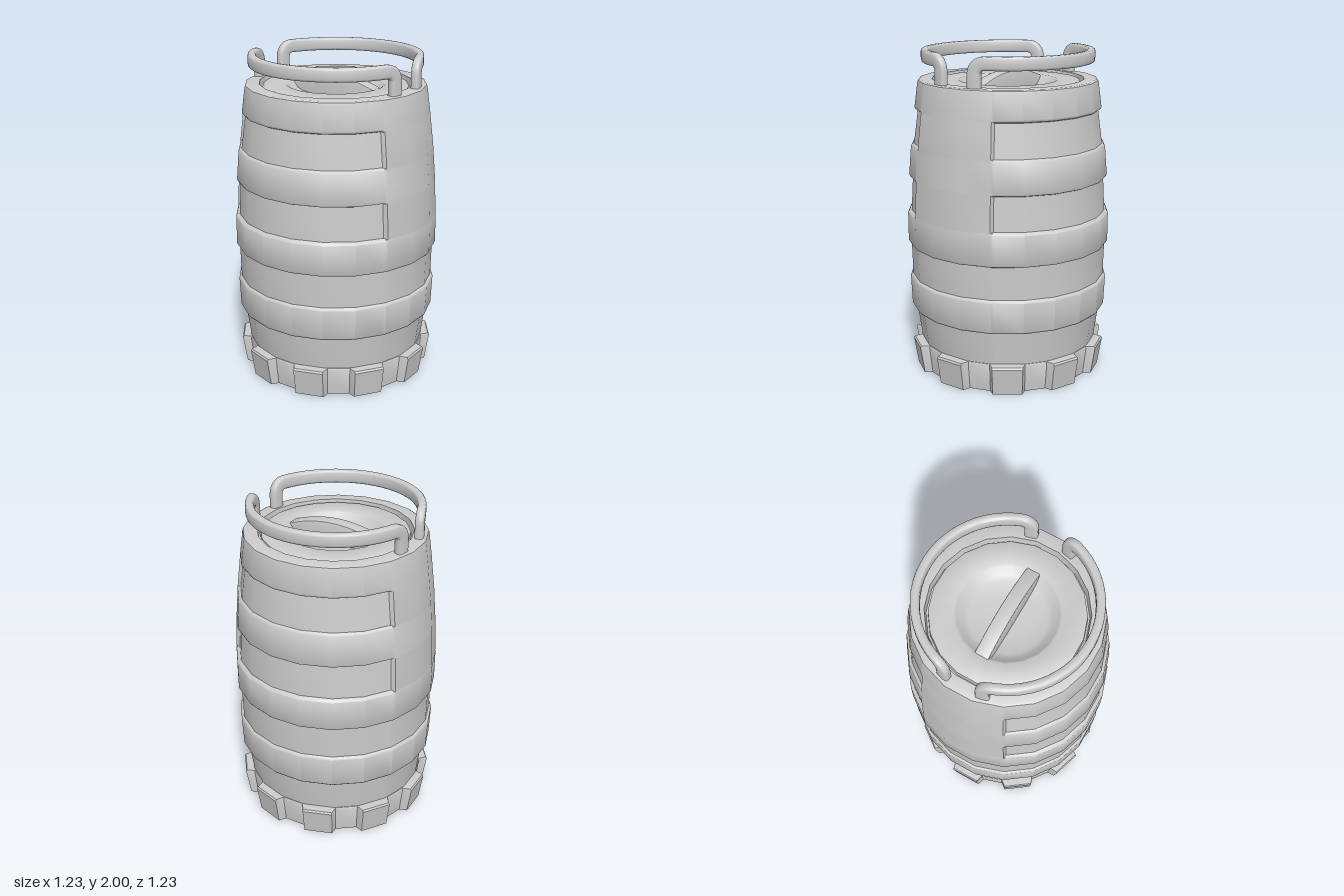
import * as THREE from 'three';
import { toCreasedNormals } from 'three/addons/utils/BufferGeometryUtils.js';

const RAD = Math.PI / 180;
const SIDES = 20;
const material = new THREE.MeshStandardMaterial({ color: 0xcccccc });

function addMesh(parent, name, geometry, crease = 38) {
  const mesh = new THREE.Mesh(toCreasedNormals(geometry, crease * RAD), material);
  mesh.name = name;
  parent.add(mesh);
  return mesh;
}

// Surface through a grid of points; outward is (row direction) x (column direction)
function gridGeometry(rows, cols, point) {
  const positions = [], index = [];
  for (let i = 0; i < rows; i++)
    for (let j = 0; j < cols; j++) positions.push(...point(i, j));
  for (let i = 0; i < rows - 1; i++)
    for (let j = 0; j < cols - 1; j++) {
      const a = i * cols + j, b = a + cols;
      index.push(a, b, b + 1, a, b + 1, a + 1);
    }
  const geometry = new THREE.BufferGeometry();
  geometry.setAttribute('position', new THREE.Float32BufferAttribute(positions, 3));
  geometry.setIndex(index);
  return geometry;
}

// Point on a 20-sided ring whose flat faces are centred on multiples of 18 degrees
function ringPoint(radius, y, degrees) {
  const offset = degrees - Math.round(degrees / 18) * 18;
  const r = radius * Math.cos(9 * RAD) / Math.cos(offset * RAD);
  return [r * Math.cos(degrees * RAD), y, r * Math.sin(degrees * RAD)];
}

// Barrel wall: rows of [height, radius, radius inside the front and back panels]
function barrelGeometry() {
  const rows = [
    [0.17, 0.55], [0.39, 0.58],
    // lower band
    [0.394, 0.6], [0.406, 0.61], [0.588, 0.618], [0.6, 0.61], [0.604, 0.602],
    // middle band
    [0.806, 0.607], [0.81, 0.618], [0.822, 0.625], [1.0, 0.625],
    // lower panels
    [1.01, 0.623, 0.618], [1.016, 0.623, 0.602], [1.222, 0.613, 0.59], [1.228, 0.613, 0.606],
    [1.24, 0.612], [1.418, 0.597],
    // upper panels
    [1.428, 0.596, 0.59], [1.434, 0.596, 0.578], [1.636, 0.572, 0.55], [1.642, 0.571, 0.564],
    [1.654, 0.57],
    // rim
    [1.8, 0.55], [1.814, 0.546], [1.82, 0.535], [1.82, 0.462], [1.77, 0.455], [1.77, 0.42],
  ];
  const angles = [28.5, 151.5, 208.5, 331.5];
  for (let k = 0; k <= SIDES; k++) angles.push(9 + 18 * k);
  angles.sort((a, b) => a - b);
  const inPanel = (deg) => Math.abs(Math.sin(deg * RAD)) > Math.sin(28 * RAD);
  return gridGeometry(rows.length, angles.length, (i, j) => {
    const [y, full, panel = full] = rows[i];
    return ringPoint(inPanel(angles[j]) ? panel : full, y, angles[j]);
  });
}

// Foot ring: ten teeth alternating with ten notches
function footGeometry() {
  const columns = [];
  for (let k = 0; k <= SIDES; k++) {
    const edge = 9 + 18 * k, toothFirst = k % 2 === 0;
    columns.push([edge - (toothFirst ? 0.3 : 2), toothFirst]);
    columns.push([edge + (toothFirst ? 2 : 0.3), !toothFirst]);
  }
  columns.pop();
  columns[0][0] = columns.at(-1)[0] - 360;
  // [height, tooth radius, notch radius]
  const rows = [[0, 0, 0], [0, 0.582, 0.54], [0.168, 0.609, 0.56], [0.18, 0.602, 0.555], [0.185, 0.5, 0.5]];
  return gridGeometry(rows.length, columns.length, (i, j) => {
    const [deg, tooth] = columns[j];
    return ringPoint(rows[i][tooth ? 1 : 2], rows[i][0], deg);
  });
}

// Lid with a shallow round bowl
function lidGeometry() {
  const profile = [
    [0.445, 1.765], [0.442, 1.803], [0.432, 1.81], [0.3, 1.81], [0.288, 1.803],
    [0.255, 1.76], [0.22, 1.745], [0.12, 1.735], [0, 1.732],
  ].map(([r, y]) => new THREE.Vector2(r, y));
  return new THREE.LatheGeometry(profile, SIDES, 9 * RAD);
}

// Arched grip across the bowl
function gripGeometry() {
  const shape = new THREE.Shape();
  shape.moveTo(-0.29, 1.735);
  shape.lineTo(-0.29, 1.8);
  shape.quadraticCurveTo(0, 1.914, 0.29, 1.8);
  shape.lineTo(0.29, 1.735);
  shape.closePath();
  const geometry = new THREE.ExtrudeGeometry(shape, {
    depth: 0.07, bevelThickness: 0.008, bevelSize: 0.008, bevelSegments: 2, curveSegments: 16,
  });
  return geometry.translate(0, 0, -0.035);
}

// Carrying handle: flat path of [arc length, height, tangent angle], wrapped round the rim
function handleGeometry() {
  const R = 0.499, legS = 0.122, topY = 1.96, bend = 0.06;
  const endS = Math.PI * R - legS;
  const path = [[legS, 1.78, 90]];
  for (let k = 0; k <= 6; k++) {
    const a = 90 - 15 * k;
    path.push([legS + bend * (1 - Math.sin(a * RAD)), topY - bend * (1 - Math.cos(a * RAD)), a]);
  }
  const first = legS + bend, last = endS - bend;
  for (let k = 1; k < 24; k++) path.push([first + (last - first) * k / 24, topY, 0]);
  for (let k = 0; k <= 6; k++) {
    const a = -15 * k;
    path.push([last - bend * Math.sin(a * RAD), topY - bend * (1 - Math.cos(a * RAD)), a]);
  }
  path.push([endS, 1.78, -90]);

  const round = (v) => Math.sign(v) * Math.abs(v) ** 0.5;
  const sectionSides = 16;
  return gridGeometry(path.length, sectionSides + 1, (i, j) => {
    const [s, y, tangent] = path[i];
    const phi = (j / sectionSides) * 2 * Math.PI;
    const a = 0.04 * round(Math.cos(phi)), b = 0.026 * round(Math.sin(phi));
    const theta = (s - a * Math.sin(tangent * RAD)) / R;
    return [(R + b) * Math.cos(theta), y + a * Math.cos(tangent * RAD), (R + b) * Math.sin(theta)];
  });
}

export function createModel() {
  const model = new THREE.Group();
  model.name = 'barrel';
  addMesh(model, 'barrelWall', barrelGeometry());
  addMesh(model, 'footRing', footGeometry());
  addMesh(model, 'lid', lidGeometry());
  addMesh(model, 'lidGrip', gripGeometry());
  addMesh(model, 'frontHandle', handleGeometry(), 60);
  addMesh(model, 'backHandle', handleGeometry(), 60).rotation.y = Math.PI;
  return model;
}
